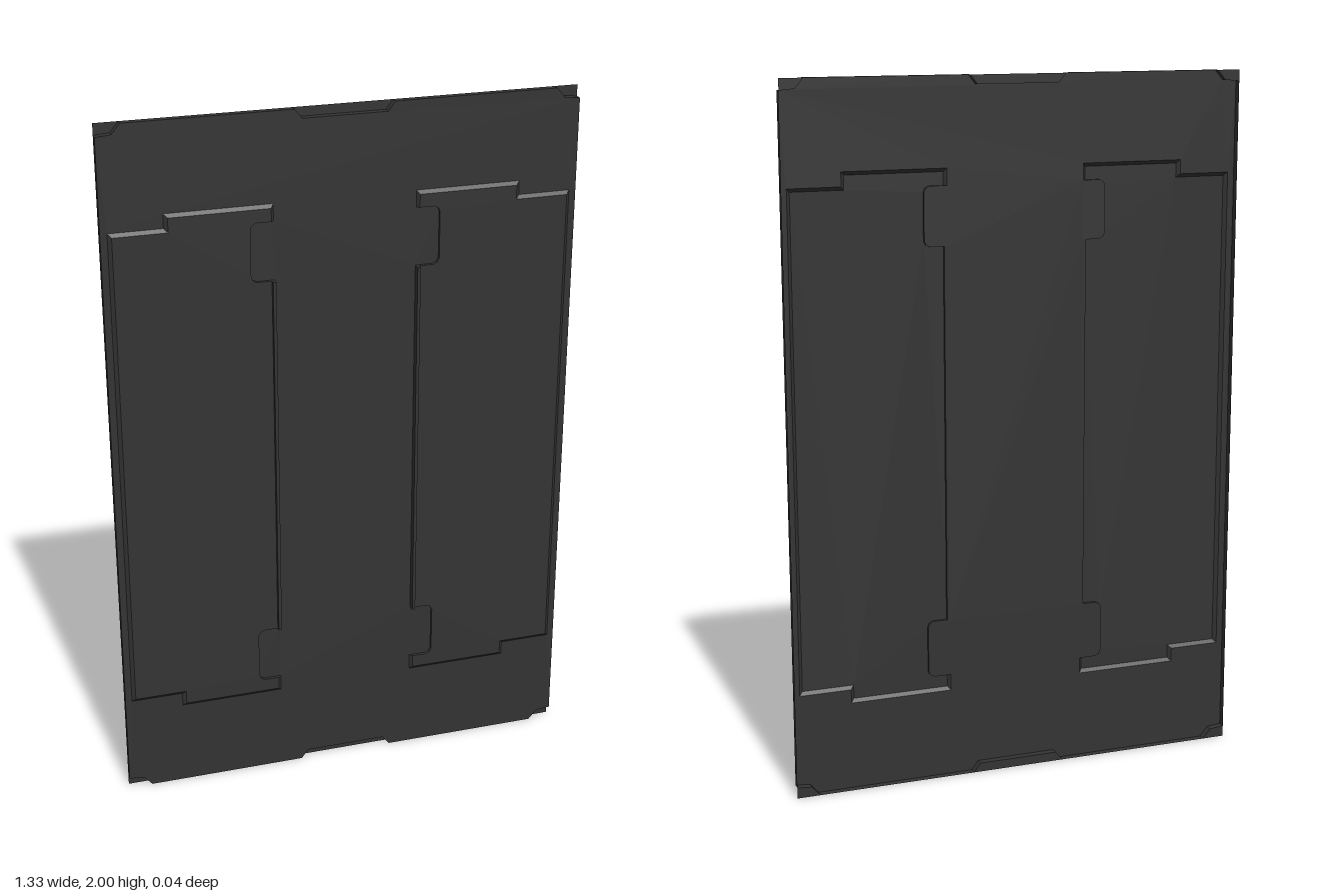
import * as THREE from 'three';

const MID = 1.003;                                   // height the panels mirror about
const Z = { back: -0.021, plate: 0, panel: 0.009, lip: 0.021 };
const W = 0.665, H = 2;
const material = new THREE.MeshStandardMaterial({ color: 0x333333, side: THREE.DoubleSide, flatShading: true });

function addMesh(group, name, geometry) {
  const mesh = new THREE.Mesh(geometry, material);
  mesh.name = name;
  group.add(mesh);
}

const toVectors = (pts) => pts.map(([x, y]) => new THREE.Vector2(x, y));

// Flat sheet cut from an outline
function sheet(outline, z, holes = []) {
  const shape = new THREE.Shape(toVectors(outline));
  for (const h of holes) shape.holes.push(new THREE.Path(toVectors(h)));
  return new THREE.ShapeGeometry(shape).translate(0, 0, z);
}

// Wall joining two closed outlines at different depths
function wall(a, za, b, zb) {
  const pos = [];
  a.forEach((p, i) => {
    const j = (i + 1) % a.length;
    pos.push(...p, za, ...a[j], za, ...b[j], zb, ...p, za, ...b[j], zb, ...b[i], zb);
  });
  const g = new THREE.BufferGeometry();
  g.setAttribute('position', new THREE.Float32BufferAttribute(pos, 3));
  g.computeVertexNormals();
  return g;
}

// Upper half of a panel outline: x, height above the middle, bevel inset dx, dy
const half = [
  [0.2, 0.535, 0, 0], [0.25, 0.535, 0, 0], [0.261, 0.541, 0, 0], [0.266, 0.552, 0, 0],
  [0.266, 0.684, 0, 0], [0.261, 0.695, 0, 0], [0.25, 0.701, 0, 0], [0.2, 0.701, 0.008, 0],
  [0.2, 0.748, 0.008, -0.01], [0.497, 0.748, -0.01, -0.01],
  [0.497, 0.708, -0.01, -0.01], [0.646, 0.708, -0.01, -0.01],
];
function panelOutline(side, inset) {
  const at = ([x, y, dx, dy], up) => [side * (x + inset * dx), MID + up * (y + inset * dy)];
  return [...half.map((p) => at(p, 1)), ...[...half].reverse().map((p) => at(p, -1))];
}

// Plate edge: notches at the corners and in the middle of the top and bottom
const quarter = [[W, 0.968], [0.622, 0.972], [0.598, 1], [0.138, 1], [0.118, 0.974]];
function plateOutline() {
  const q = (sx, sy) => quarter.map(([x, y]) => [sx * x, H / 2 + sy * y]);
  return [...q(1, 1), ...q(-1, 1).reverse(), ...q(-1, -1), ...q(1, -1).reverse()];
}

export function createModel() {
  const model = new THREE.Group();
  model.name = 'pressedSheetDoor';

  // Main sheet with openings for the two panels, and its folded rim
  const edge = plateOutline();
  addMesh(model, 'plate', sheet(edge, Z.plate, [panelOutline(1, 0), panelOutline(-1, 0)]));
  addMesh(model, 'rim', wall(edge, Z.plate, edge, Z.back));

  // Set-back tabs that fill the notches
  for (const up of [1, -1]) {
    const y = (v) => H / 2 + up * v;
    addMesh(model, 'middleTab', sheet([[-0.138, y(1)], [-0.118, y(0.974)], [0.118, y(0.974)], [0.138, y(1)]], Z.back));
    for (const s of [1, -1]) {
      addMesh(model, 'cornerTab', sheet(
        [[s * W, y(1)], [s * W, y(0.968)], [s * 0.622, y(0.972)], [s * 0.598, y(1)]], Z.back));
    }
  }

  // Raised panels with bevelled borders and an upright lip on the inner edge
  for (const side of [1, -1]) {
    const panel = new THREE.Group();
    panel.name = side > 0 ? 'leftPanel' : 'rightPanel';
    const foot = panelOutline(side, 0), top = panelOutline(side, 1);
    addMesh(panel, 'panelBorder', wall(foot, Z.plate, top, Z.panel));
    addMesh(panel, 'panelFace', sheet(top, Z.panel));
    const lip = new THREE.BoxGeometry(0.009, 1.07, Z.lip - Z.plate);
    lip.translate(side * 0.2045, MID, (Z.lip + Z.plate) / 2);
    addMesh(panel, 'panelLip', lip);
    model.add(panel);
  }
  return model;
}
